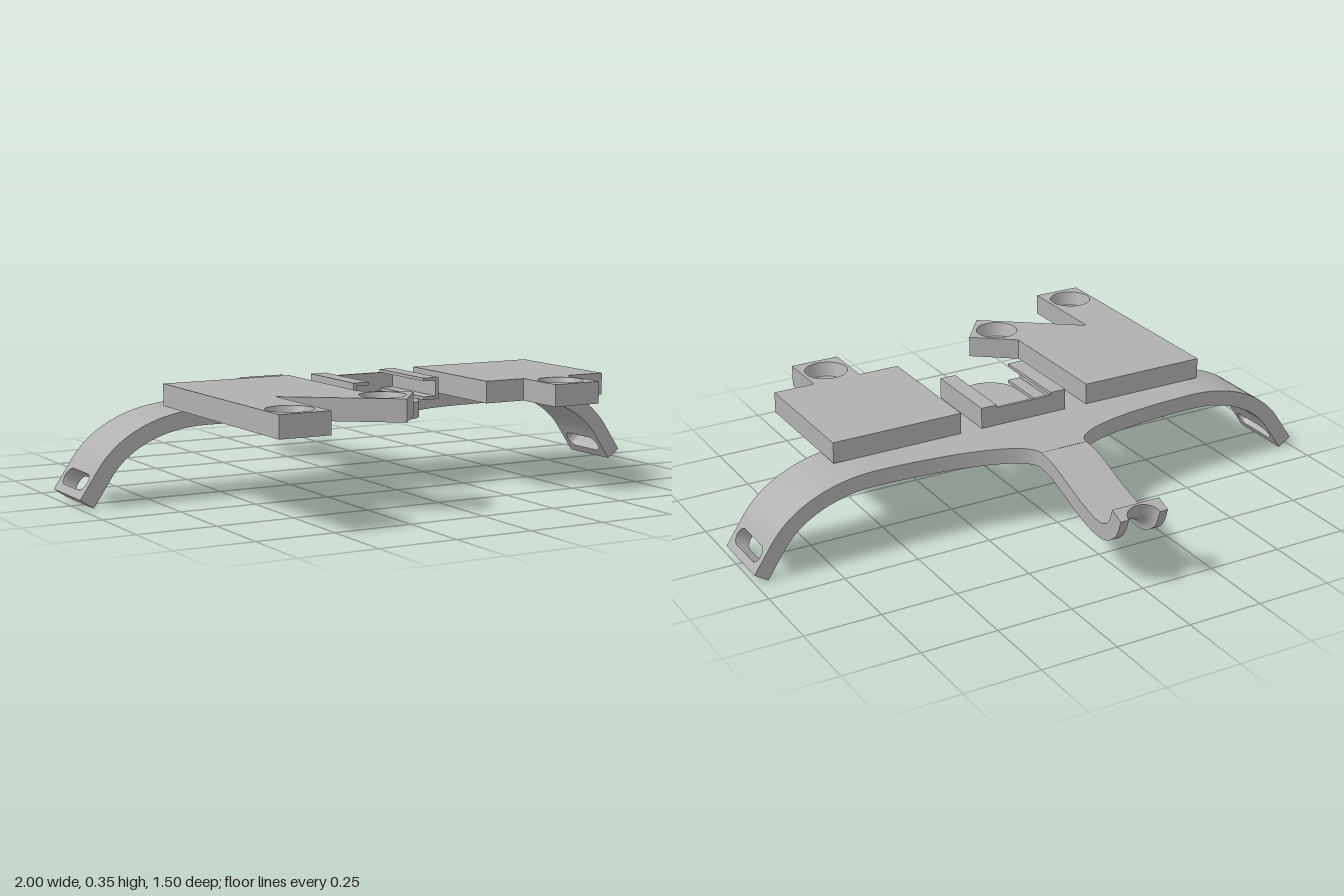
import * as THREE from 'three';
import { toCreasedNormals } from 'three/addons/utils/BufferGeometryUtils.js';

const TOP = 0.28, THICK = 0.052, MID = TOP - THICK / 2;
const V = (x, y) => new THREE.Vector2(x, y);

export function createModel() {
  const model = new THREE.Group();
  const grey = new THREE.MeshStandardMaterial({ color: 0xb0b0b0 });
  grey.name = 'greyPlastic';

  const add = (parent, name, geometry) => {
    const mesh = new THREE.Mesh(geometry, grey);
    mesh.name = name;
    parent.add(mesh);
    return mesh;
  };
  const group = (name) => {
    const g = new THREE.Group();
    g.name = name;
    model.add(g);
    return g;
  };
  const box = (parent, name, x0, x1, y0, y1, z0, z1) => {
    const m = add(parent, name, new THREE.BoxGeometry(x1 - x0, y1 - y0, z1 - z0));
    m.position.set((x0 + x1) / 2, (y0 + y1) / 2, (z0 + z1) / 2);
  };
  const extrude = (shape, depth) => toCreasedNormals(
    new THREE.ExtrudeGeometry(shape, { depth, bevelEnabled: false, curveSegments: 24 }), 0.5);
  // Plan shape drawn in (x, z), hanging down from the given top height
  const slab = (shape, top, depth) => extrude(shape, depth).rotateX(Math.PI / 2).translate(0, top, 0);

  // Centre plate: band with a rounded front tongue and a flare into the tail
  const plate = new THREE.Shape();
  plate.moveTo(-0.58, -0.145);
  plate.bezierCurveTo(-0.3, -0.15, -0.083, -0.2, -0.083, -0.285);
  plate.lineTo(0.083, -0.285);
  plate.bezierCurveTo(0.083, -0.2, 0.3, -0.15, 0.58, -0.145);
  plate.lineTo(0.58, 0.075);
  plate.lineTo(0.4, 0.075);
  plate.bezierCurveTo(0.22, 0.08, 0.1, 0.12, 0.1, 0.19);
  plate.absarc(0, 0.19, 0.1, 0, Math.PI, false);
  plate.bezierCurveTo(-0.1, 0.12, -0.22, 0.08, -0.4, 0.075);
  plate.lineTo(-0.58, 0.075);
  plate.closePath();
  add(model, 'centrePlate', slab(plate, TOP, THICK));

  // Side arms: bent band, then a straight end with a strap slot
  const bend = new THREE.CubicBezierCurve(V(0.58, MID), V(0.74, MID), V(0.86, 0.19), V(0.9165, 0.106));
  const upper = [], lower = [];
  for (let i = 0; i <= 24; i++) {
    const p = bend.getPoint(i / 24), t = bend.getTangent(i / 24);
    const n = V(-t.y, t.x).multiplyScalar(THICK / 2);
    upper.push(p.clone().add(n));
    lower.unshift(p.clone().sub(n));
  }
  const endShape = new THREE.Shape([V(0, -0.11), V(0.11, -0.11), V(0.11, 0.11), V(0, 0.11)]);
  const slot = new THREE.Path();
  slot.absarc(0.055, 0.06, 0.028, 0, Math.PI, false);
  slot.absarc(0.055, -0.06, 0.028, Math.PI, Math.PI * 2, false);
  slot.closePath();
  endShape.holes.push(slot);
  const endTangent = bend.getTangent(1);
  for (const side of ['left', 'right']) {
    const arm = group(side + 'Arm');
    add(arm, side + 'ArmBend', extrude(new THREE.Shape([...upper, ...lower]), 0.22).translate(0, 0, -0.11));
    const end = add(arm, side + 'ArmStrapEnd', slab(endShape, THICK / 2, THICK));
    end.rotation.z = Math.atan2(endTangent.y, endTangent.x);
    end.position.set(0.9165, 0.106, 0);
    arm.position.z = -0.035;
    if (side === 'right') arm.rotation.y = Math.PI;
  }

  add(model, 'tailHook', tailGeometry());

  // Front holder: two C-shaped rails joined by a back wall
  const holder = group('slideHolder');
  for (const s of [-1, 1]) {
    const rail = (name, a, b, y0, y1) =>
      box(holder, name, Math.min(s * a, s * b), Math.max(s * a, s * b), y0, y1, -0.035, 0.245);
    rail('railFloor', 0.1, 0.155, TOP, 0.29);
    rail('railWall', 0.145, 0.155, 0.29, 0.34);
    rail('railLip', 0.1, 0.155, 0.34, 0.35);
  }
  box(holder, 'holderBackWall', -0.145, 0.145, TOP, 0.34, -0.035, -0.025);

  // Blocks with conical blind pockets in their tabs
  const block = (name, outline, pockets) => {
    const g = group(name);
    const solid = new THREE.Shape(outline.map(([x, z]) => V(x, z)));
    const pierced = solid.clone();
    for (const [x, z] of pockets) {
      const hole = new THREE.Path();
      hole.absarc(x, z, 0.071, 0, Math.PI * 2, true);
      pierced.holes.push(hole);
      // Inward-facing wall of the pocket
      const wall = new THREE.CylinderGeometry(0.071, 0.058, 0.045, 48, 1, true);
      const index = wall.index.array;
      for (let i = 0; i < index.length; i += 3) [index[i], index[i + 1]] = [index[i + 1], index[i]];
      const normals = wall.attributes.normal.array;
      for (let i = 0; i < normals.length; i++) normals[i] *= -1;
      add(g, 'pocketWall', wall.translate(x, 0.3275, z));
    }
    add(g, name + 'Top', slab(pierced, 0.35, 0.045));
    add(g, name + 'Base', slab(solid, 0.305, 0.025));
  };
  block('leftBlock', [[0.23, -0.035], [0.675, -0.035], [0.675, 0.41], [0.535, 0.41],
    [0.535, 0.585], [0.37, 0.585], [0.37, 0.41], [0.23, 0.41]], [[0.452, 0.495]]);
  block('rightBlock', [[-0.675, -0.035], [-0.235, -0.035], [-0.235, 0.41], [-0.1, 0.515],
    [-0.2, 0.645], [-0.51, 0.41], [-0.51, 0.75], [-0.675, 0.75]], [[-0.595, 0.66], [-0.215, 0.527]]);

  return model;
}

// Tail: band swept along an S-curve, with a groove deepening on its underside
function tailGeometry() {
  const path = new THREE.SplineCurve([V(-0.27, MID), V(-0.34, 0.248), V(-0.42, 0.222), V(-0.52, 0.187),
    V(-0.6, 0.168), V(-0.66, 0.172), V(-0.703, 0.203), V(-0.723, 0.253)]);
  const h = THICK / 2, W = 0.083, STEPS = 48, ARC = 16;
  const section = (depth) => {
    const pts = [V(W, -h), V(W, h), V(-W, h), V(-W, -h)];
    for (let k = 0; k <= ARC; k++) {
      const a = Math.PI * (1 - k / ARC);
      pts.push(V(0.055 * Math.cos(a), -h + depth * Math.sin(a)));
    }
    return pts;
  };
  const rings = [];
  for (let i = 0; i <= STEPS; i++) {
    const p = path.getPoint(i / STEPS), t = path.getTangent(i / STEPS);
    const depth = 0.001 + 0.044 * THREE.MathUtils.smoothstep(i / STEPS, 0.1, 0.45);
    rings.push(section(depth).map((q) => [q.x, p.y - t.x * q.y, p.x + t.y * q.y]));
  }
  const pos = [], tri = (...v) => v.forEach((c) => pos.push(...c));
  const count = rings[0].length;
  for (let i = 0; i < STEPS; i++) {
    for (let j = 0; j < count; j++) {
      const k = (j + 1) % count;
      const a = rings[i][j], b = rings[i][k], c = rings[i + 1][j], d = rings[i + 1][k];
      tri(a, c, b);
      tri(b, c, d);
    }
  }
  // End caps
  for (const [a, b, c] of THREE.ShapeUtils.triangulateShape(section(0.045), [])) {
    tri(rings[0][a], rings[0][b], rings[0][c]);
    tri(rings[STEPS][a], rings[STEPS][c], rings[STEPS][b]);
  }
  const geometry = new THREE.BufferGeometry();
  geometry.setAttribute('position', new THREE.Float32BufferAttribute(pos, 3));
  return toCreasedNormals(geometry, 0.5);
}
